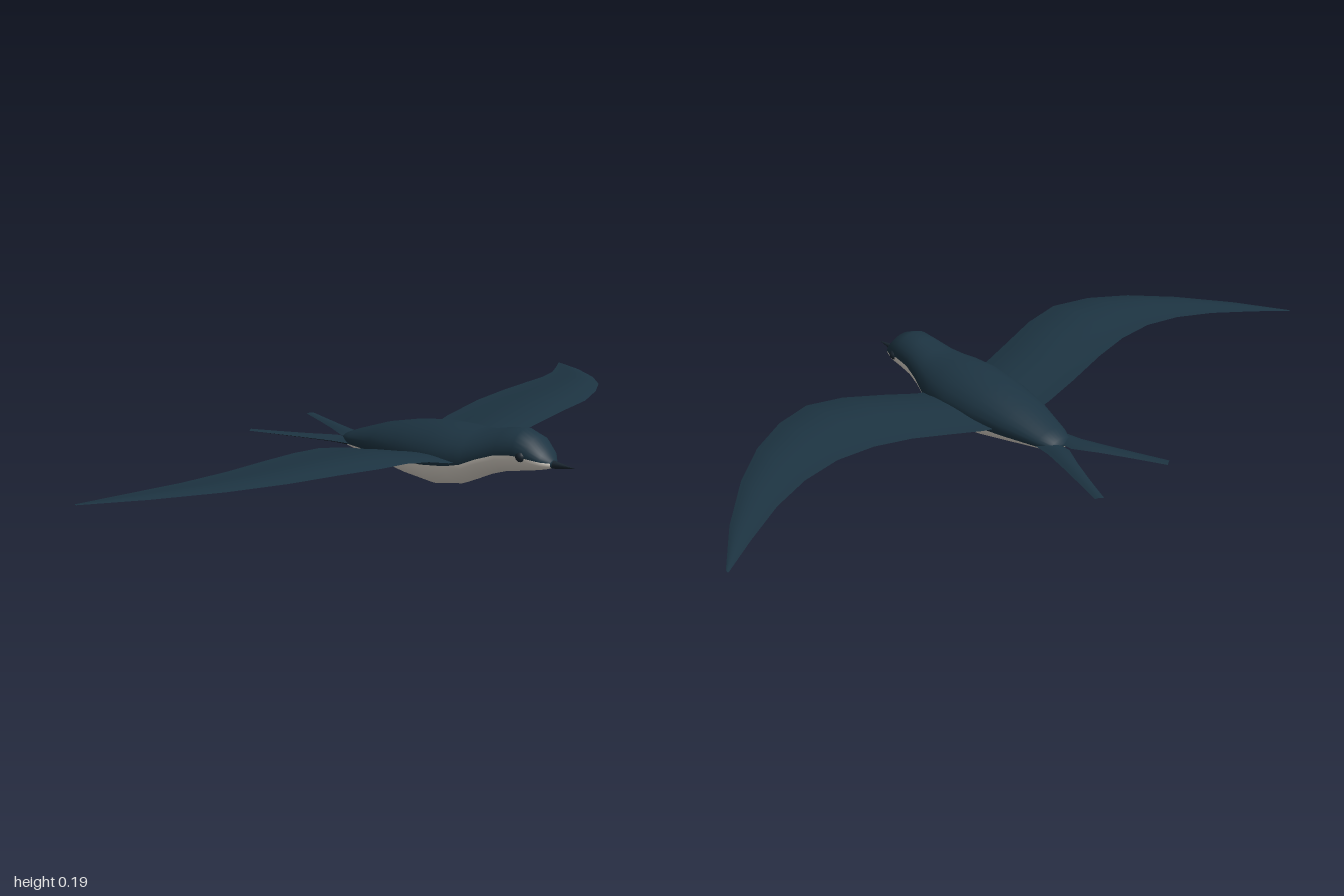
import * as THREE from 'three';

const paint = (name, color) => {
  const m = new THREE.MeshStandardMaterial({ color });
  m.name = name;
  return m;
};

function geometryFrom(points, index) {
  const g = new THREE.BufferGeometry();
  g.setAttribute('position', new THREE.Float32BufferAttribute(points.flat(), 3));
  g.setIndex(index);
  g.computeVertexNormals();
  return g;
}

// Smooth sheet through rows of points; flip turns its face over
function sheet(rows, flip) {
  const n = rows[0].length, index = [];
  for (let i = 0; i < rows.length - 1; i++) {
    for (let j = 0; j < n - 1; j++) {
      const a = i * n + j, b = a + n, c = a + 1, d = b + 1;
      if (flip) index.push(a, c, b, c, d, b);
      else index.push(a, b, c, c, b, d);
    }
  }
  return geometryFrom(rows.flat(), index);
}

// Body sections: x, bottom, top, half width, height of the colour line
const BODY = [
  [-0.242, 0.066, 0.076, 0.012, 0.070],
  [-0.235, 0.056, 0.088, 0.035, 0.069],
  [-0.20, 0.050, 0.102, 0.052, 0.068],
  [-0.10, 0.033, 0.136, 0.082, 0.070],
  [0.00, 0.014, 0.158, 0.103, 0.071],
  [0.10, 0.002, 0.170, 0.113, 0.074],
  [0.17, 0.014, 0.170, 0.106, 0.080],
  [0.21, 0.032, 0.168, 0.094, 0.088],
  [0.25, 0.051, 0.171, 0.080, 0.106],
  [0.30, 0.068, 0.182, 0.068, 0.123],
  [0.35, 0.078, 0.188, 0.063, 0.129],
  [0.39, 0.086, 0.173, 0.057, 0.125],
  [0.42, 0.093, 0.143, 0.040, 0.118],
  [0.437, 0.099, 0.120, 0.018, 0.113],
];

// Wing sections: z, trailing x, leading x, y
const WING = [
  [0.04, -0.072, 0.195, 0.080],
  [0.12, -0.070, 0.198, 0.096],
  [0.22, -0.064, 0.212, 0.123],
  [0.34, -0.046, 0.236, 0.149],
  [0.45, -0.030, 0.246, 0.162],
  [0.56, -0.026, 0.212, 0.165],
  [0.67, -0.042, 0.154, 0.159],
  [0.78, -0.080, 0.066, 0.149],
  [0.90, -0.143, -0.060, 0.136],
  [1.00, -0.200, -0.190, 0.123],
];

// Tail prong sections: inner x, inner z, outer x, outer z, y, half thickness
const TAIL = [
  [-0.18, 0.000, -0.18, 0.050, 0.070, 0.011],
  [-0.27, 0.004, -0.25, 0.060, 0.071, 0.009],
  [-0.34, 0.042, -0.33, 0.084, 0.073, 0.006],
  [-0.42, 0.080, -0.41, 0.110, 0.075, 0.004],
  [-0.50, 0.116, -0.488, 0.136, 0.077, 0.002],
];

// Lofted body: each ring begins at the colour line so back and belly share normals
function bodyGeometry() {
  const half = 14, n = half * 2, points = [], back = [], belly = [];
  for (const [x, bottom, top, width, line] of BODY) {
    const cy = (top + bottom) / 2, ry = (top - bottom) / 2;
    const s = Math.asin(THREE.MathUtils.clamp((line - cy) / ry, -0.95, 0.95));
    for (let j = 0; j < n; j++) {
      const t = j < half
        ? s + (Math.PI - 2 * s) * j / half
        : Math.PI - s + (Math.PI + 2 * s) * (j - half) / half;
      points.push([x, cy + ry * Math.sin(t), width * Math.cos(t)]);
    }
  }
  for (let i = 0; i < BODY.length - 1; i++) {
    for (let j = 0; j < n; j++) {
      const k = (j + 1) % n, a = i * n + j, b = a + n, c = i * n + k, d = c + n;
      (j < half ? back : belly).push(a, b, c, c, b, d);
    }
  }
  // End caps
  const last = (BODY.length - 1) * n;
  for (let j = 1; j < n - 1; j++) {
    back.push(0, j, j + 1, last, last + j + 1, last + j);
  }
  const g = geometryFrom(points, [...back, ...belly]);
  g.addGroup(0, back.length, 0);
  g.addGroup(back.length, belly.length, 1);
  return g;
}

// One surface of a wing between two chord fractions (0 trailing, 1 leading)
function wingSurface(side, under, from, to) {
  const cols = 10;
  const rows = WING.map((section) => {
    const [z, trail, lead, y] = section;
    const chord = lead - trail, f0 = from(section), f1 = to(section), row = [];
    for (let j = 0; j <= cols; j++) {
      const f = f0 + (f1 - f0) * j / cols;
      const bulge = Math.sin(Math.PI * Math.pow(f, 1.5)) * chord;
      const pitch = -0.025 * (1 - f) * chord;
      row.push([trail + chord * f, y + pitch + bulge * (under ? -0.015 : 0.05), z * side]);
    }
    return row;
  });
  return sheet(rows, (side < 0) !== under);
}

function tailSurface(side, under) {
  const rows = TAIL.map(([xi, zi, xo, zo, y, h]) => {
    const row = [];
    for (let j = 0; j <= 6; j++) {
      const f = j / 6, lift = Math.sin(Math.PI * f) * h * (under ? -1 : 1);
      row.push([xi + (xo - xi) * f, y + lift, side * (zi + (zo - zi) * f)]);
    }
    return row;
  });
  return sheet(rows, (side < 0) !== under);
}

export function createModel() {
  const blue = paint('slate blue plumage', 0x1d3442);
  const cream = paint('cream belly and wing lining', 0xece5da);
  const dark = paint('dark feathers, beak and eye', 0x1a2630);

  const model = new THREE.Group();
  model.name = 'flyingBird';
  const add = (parent, name, geometry, material) => {
    const mesh = new THREE.Mesh(geometry, material);
    mesh.name = name;
    parent.add(mesh);
    return mesh;
  };

  add(model, 'body', bodyGeometry(), [blue, cream]);

  const beak = add(model, 'beak', new THREE.ConeGeometry(0.013, 0.078, 12), dark);
  beak.rotation.z = -Math.PI / 2;
  beak.position.set(0.461, 0.107, 0);

  // Chord fractions that bound the underwing bands
  const zero = () => 0, one = () => 1, middle = () => 0.45;
  const hem = ([z, trail, lead]) => (z < 0.5 ? Math.max(0, (-0.03 - trail) / (lead - trail)) : 0);

  for (const side of [1, -1]) {
    const label = side > 0 ? 'left' : 'right';

    const wing = new THREE.Group();
    wing.name = label + 'Wing';
    add(wing, 'wingTop', wingSurface(side, false, zero, one), blue);
    add(wing, 'wingLining', wingSurface(side, true, middle, one), cream);
    add(wing, 'flightFeathers', wingSurface(side, true, hem, middle), dark);
    add(wing, 'innerTrailingEdge', wingSurface(side, true, zero, hem), cream);
    model.add(wing);

    const tail = new THREE.Group();
    tail.name = label + 'TailProng';
    add(tail, 'tailTop', tailSurface(side, false), blue);
    add(tail, 'tailUnderside', tailSurface(side, true), dark);
    model.add(tail);

    const eye = add(model, label + 'Eye', new THREE.SphereGeometry(0.014, 16, 12), dark);
    eye.position.set(0.372, 0.128, side * 0.052);
  }
  return model;
}
